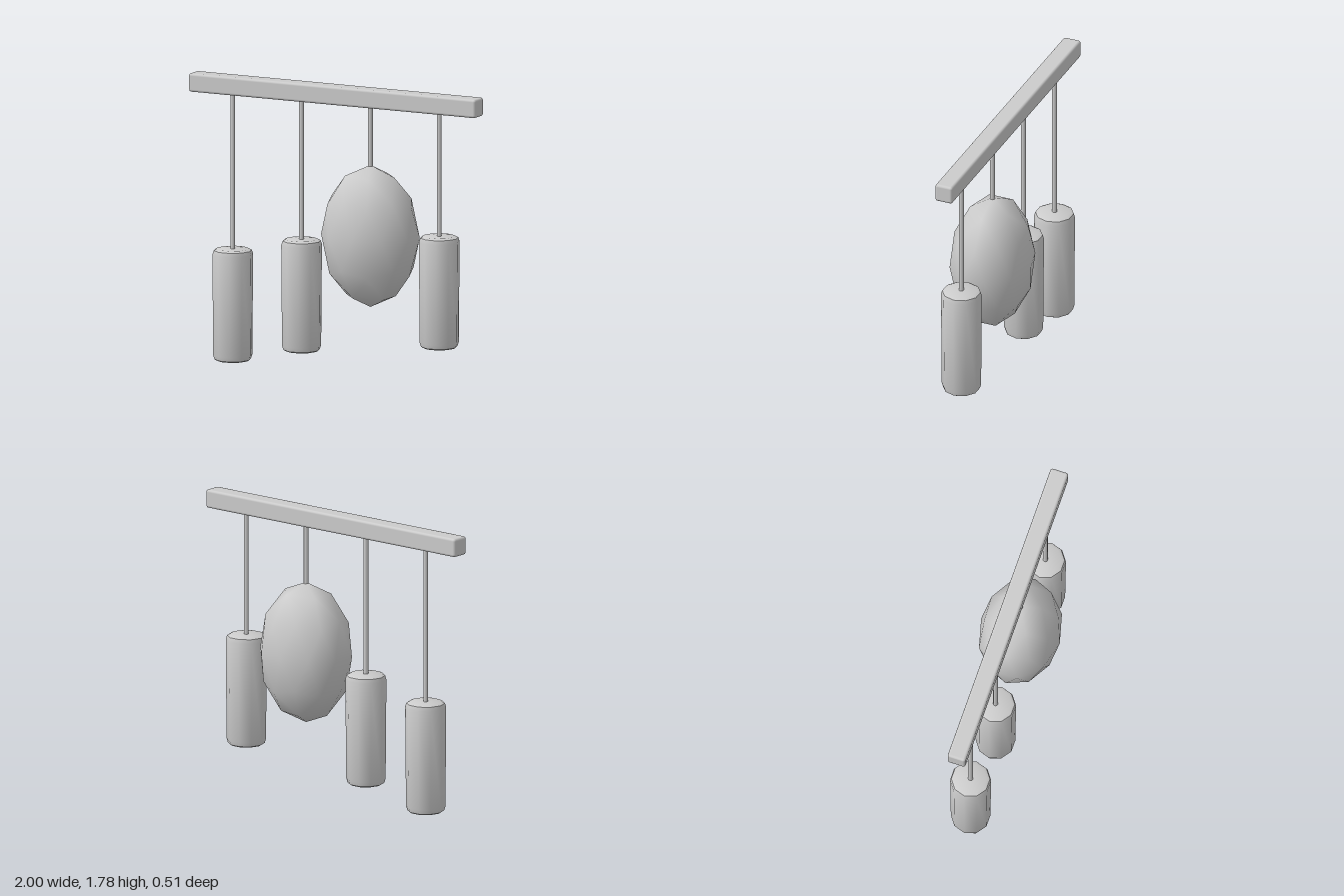
import * as THREE from 'three';
import { toCreasedNormals } from 'three/addons/utils/BufferGeometryUtils.js';
import { RoundedBoxGeometry } from 'three/addons/geometries/RoundedBoxGeometry.js';

export function createModel() {
  const model = new THREE.Group();
  const grey = new THREE.MeshStandardMaterial({ color: 0xcccccc });
  grey.name = 'plain grey';

  const add = (name, geometry, x, y) => {
    const mesh = new THREE.Mesh(geometry, grey);
    mesh.name = name;
    mesh.position.set(x, y, 0);
    model.add(mesh);
  };

  // Horizontal beam with softened edges
  const beamBottom = 1.668, beamTop = 1.784;
  add('beam', new RoundedBoxGeometry(2, beamTop - beamBottom, 0.116, 2, 0.016), 0, (beamBottom + beamTop) / 2);

  // Cord from the beam down to the top of a hanging piece
  const addCord = (x, bottom) => {
    const low = bottom - 0.02, high = beamBottom + 0.02;
    add('cord', new THREE.CylinderGeometry(0.015, 0.015, high - low, 12), x, (low + high) / 2);
  };

  // Ten-sided hanging cylinder with bevelled rims and a slight taper
  const profile = [
    [0, 0], [0.1, 0], [0.114, 0.008], [0.122, 0.035],
    [0.127, 0.665], [0.119, 0.69], [0.1, 0.7], [0, 0.7],
  ].map(([r, y]) => new THREE.Vector2(r, y));
  const cylinder = toCreasedNormals(new THREE.LatheGeometry(profile, 10, Math.PI / 2), 0.75);
  for (const [x, y] of [[-0.72, 0], [-0.24, 0.1], [0.72, 0.2]]) {
    add('hangingCylinder', cylinder, x, y);
    addCord(x, y + 0.7);
  }

  // Faceted egg with a corner at each pole
  const egg = new THREE.IcosahedronGeometry(1, 1);
  egg.rotateZ(-Math.atan(2 / (1 + Math.sqrt(5))));
  egg.scale(0.318, 0.445, 0.256);
  add('hangingEgg', egg, 0.24, 0.86);
  addCord(0.24, 1.305);

  return model;
}
